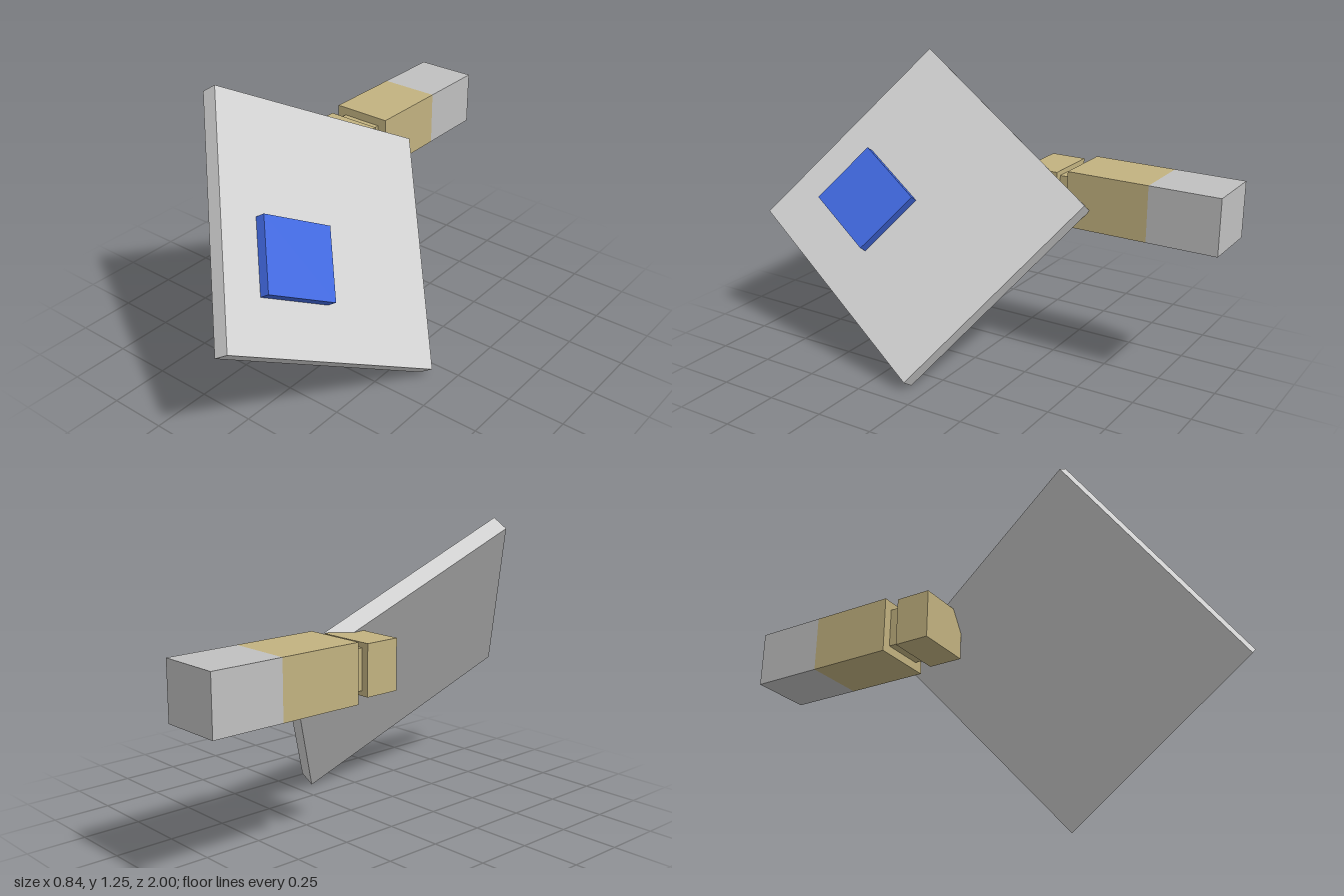
import * as THREE from 'three';

const mat = (name, color) => {
  const m = new THREE.MeshStandardMaterial({ color });
  m.name = name;
  return m;
};

export function createModel() {
  const model = new THREE.Group();
  const sand = mat('sand', 0xc2b280);
  const silver = mat('silver', 0xc0c0c0);
  const lightGrey = mat('light grey', 0xd3d3d3);
  const blue = mat('blue', 0x4169e1);

  const box = (name, material, size, pos, parent) => {
    const mesh = new THREE.Mesh(new THREE.BoxGeometry(...size), material);
    mesh.name = name;
    mesh.position.set(...pos);
    parent.add(mesh);
    return mesh;
  };

  // Horizontal arm: each section runs along z from z0 to z1
  const arm = new THREE.Group();
  arm.name = 'arm';
  arm.position.set(-0.29, 0.743, 0);
  model.add(arm);
  const sections = [
    ['armEnd', silver, 0.264, 0.237, -1, -0.7],
    ['armBody', sand, 0.264, 0.237, -0.7, -0.345],
    ['armNeck', sand, 0.184, 0.165, -0.35, -0.285],
    ['armHead', sand, 0.244, 0.206, -0.29, -0.14],
  ];
  for (const [name, material, w, h, z0, z1] of sections) {
    box(name, material, [w, h, z1 - z0], [0, 0, (z0 + z1) / 2], arm);
  }

  // Tilted panel: local x and z run along its edges, y is its outer normal
  const panel = new THREE.Group();
  panel.name = 'panel';
  const u = new THREE.Vector3(0.525, -0.71, 0.53).normalize();
  const n = u.clone().cross(new THREE.Vector3(0.25, -0.5, -0.92)).normalize();
  const w = u.clone().cross(n);
  panel.quaternion.setFromRotationMatrix(new THREE.Matrix4().makeBasis(u, n, w));
  panel.position.set(0.032, 0.645, 0.272); // centre of the outer face
  model.add(panel);
  box('panelPlate', lightGrey, [1.03, 0.072, 1.076], [0, -0.036, 0], panel);

  // Raised pad on the outer face
  box('panelPad', blue, [0.31, 0.046, 0.338], [0.136, 0.023, 0.202], panel);

  return model;
}
